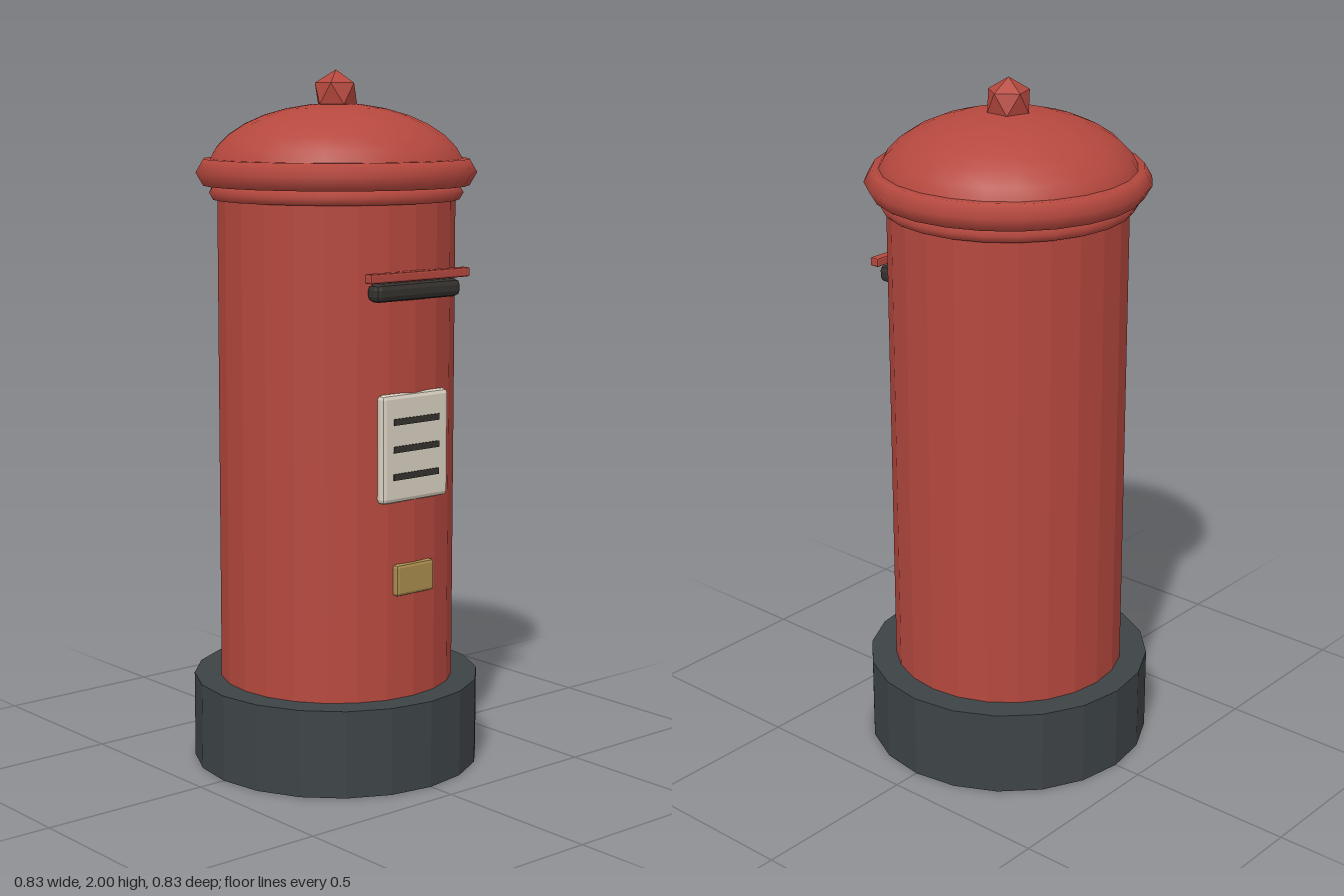
import * as THREE from 'three';
import { RoundedBoxGeometry } from 'three/addons/geometries/RoundedBoxGeometry.js';

const paint = (color, flatShading) => new THREE.MeshStandardMaterial({ color, flatShading });

export function createModel() {
  const group = new THREE.Group();
  const redFlat = paint(0xb5483e, true);
  const redSmooth = paint(0xb5483e, false);
  const iron = paint(0x3d4346, true);
  const dark = paint(0x35322e, true);
  const cream = paint(0xd9d0c0, true);
  const brass = paint(0xa98c4e, true);

  const add = (name, geometry, material, x = 0, y = 0, z = 0) => {
    const mesh = new THREE.Mesh(geometry, material);
    mesh.name = name;
    mesh.position.set(x, y, z);
    group.add(mesh);
    return mesh;
  };
  // Box with chamfered edges
  const chamferBox = (w, h, d, r) => new RoundedBoxGeometry(w, h, d, 1, r);
  // Horizontal ring with a hexagonal section
  const ring = (radius, tube) => new THREE.TorusGeometry(radius, tube, 6, 24).rotateX(Math.PI / 2);

  // Plinth and pillar
  add('base', new THREE.CylinderGeometry(0.417, 0.417, 0.25, 20), iron, 0, 0.125);
  add('body', new THREE.CylinderGeometry(0.34, 0.34, 1.46, 24), redFlat, 0, 0.97);

  // Cap: neck ring, rim and shallow dome
  add('neckRing', ring(0.34, 0.023), redSmooth, 0, 1.657);
  add('capRim', ring(0.358, 0.043), redSmooth, 0, 1.714);
  const dome = new THREE.SphereGeometry(0.37, 24, 8, 0, Math.PI * 2, 0, Math.PI / 2);
  add('dome', dome.scale(1, 0.2 / 0.37, 1), redSmooth, 0, 1.707);

  // Faceted finial, turned so one corner points up
  const finial = new THREE.IcosahedronGeometry(0.067, 0);
  finial.rotateX(-Math.atan((1 + Math.sqrt(5)) / 2)).rotateY(Math.PI / 2);
  add('finial', finial, redFlat, 0, 1.933);

  // Letter slot under its hood
  add('slot', chamferBox(0.31, 0.05, 0.05, 0.016), dark, 0, 1.401, 0.335);
  add('slotHood', chamferBox(0.366, 0.026, 0.03, 0.005), redFlat, 0, 1.443, 0.35);

  // Notice plate with printed bars
  add('noticePlate', chamferBox(0.244, 0.305, 0.033, 0.013), cream, 0, 0.967, 0.3305);
  for (let i = -1; i <= 1; i++) {
    add('noticeBar', new THREE.BoxGeometry(0.168, 0.018, 0.01), dark, 0, 0.966 + i * 0.077, 0.345);
  }

  // Small lock plate
  add('lockPlate', chamferBox(0.14, 0.09, 0.03, 0.009), brass, 0, 0.593, 0.334);

  return group;
}
